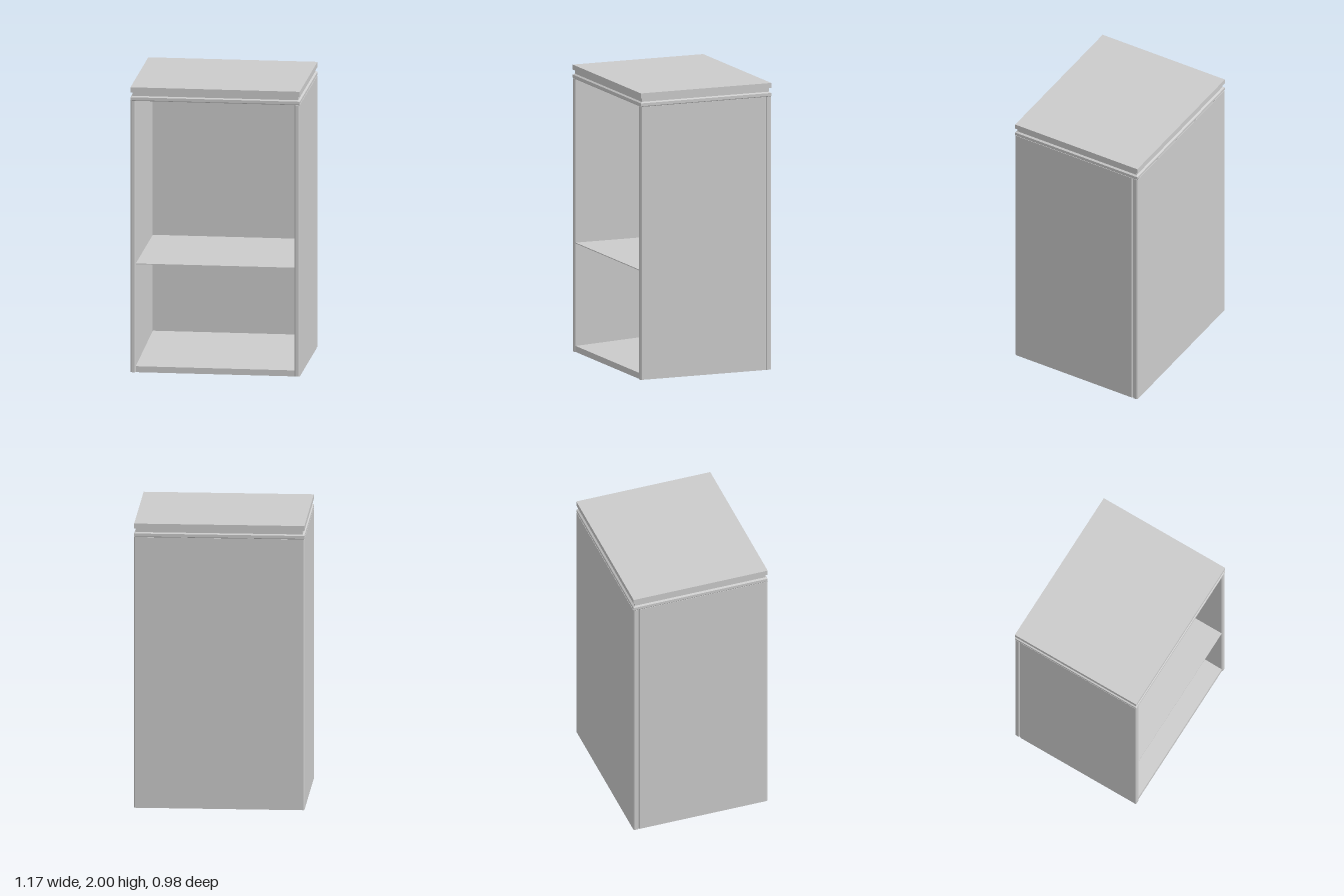
import * as THREE from 'three';

const W = 0.585, D = 0.488, T = 0.036;   // half width, half depth, board thickness
const TOP_Y = 1.905;                     // underside of the top board
const BACK_Z = -0.45;                    // inner face of the back panel

const material = () => new THREE.MeshStandardMaterial({ color: 0xcccccc, flatShading: true });

function add(group, name, geometry, x = 0, y = 0, z = 0) {
  const mesh = new THREE.Mesh(geometry, material());
  mesh.name = name;
  mesh.position.set(x, y, z);
  group.add(mesh);
  return mesh;
}

// Upright board: chamfered rectangle in plan, extruded along y.
function uprightBoard(x0, x1, z0, z1, height, c) {
  const shape = new THREE.Shape([
    [x0 + c, -z1], [x1 - c, -z1], [x1, -z1 + c], [x1, -z0 - c],
    [x1 - c, -z0], [x0 + c, -z0], [x0, -z0 - c], [x0, -z1 + c],
  ].map(([x, y]) => new THREE.Vector2(x, y)));
  return new THREE.ExtrudeGeometry(shape, { depth: height, bevelEnabled: false }).rotateX(-Math.PI / 2);
}

// Rectangular moulding: a profile of [inset, y] carried around four sides and capped.
function moulding(profile) {
  const pos = [];
  const ring = ([inset, y]) => [[1, 1], [1, -1], [-1, -1], [-1, 1]]
    .map(([sx, sz]) => [sx * (W - inset), y, sz * (D - inset)]);
  const quad = (a, b, c, d) => pos.push(...a, ...b, ...c, ...a, ...c, ...d);
  for (let i = 0; i < profile.length - 1; i++) {
    const lo = ring(profile[i]), hi = ring(profile[i + 1]);
    for (let k = 0; k < 4; k++) {
      const n = (k + 1) % 4;
      quad(lo[k], lo[n], hi[n], hi[k]);
    }
  }
  const bottom = ring(profile[0]), top = ring(profile[profile.length - 1]);
  quad(top[0], top[1], top[2], top[3]);
  quad(bottom[3], bottom[2], bottom[1], bottom[0]);
  const g = new THREE.BufferGeometry();
  g.setAttribute('position', new THREE.Float32BufferAttribute(pos, 3));
  g.computeVertexNormals();
  return g;
}

export function createModel() {
  const cabinet = new THREE.Group();
  cabinet.name = 'cabinet';

  // Side panels, mirrored
  for (const [name, s] of [['leftSidePanel', 1], ['rightSidePanel', -1]]) {
    const x0 = s > 0 ? W - T : -W, x1 = x0 + T;
    add(cabinet, name, uprightBoard(x0, x1, BACK_Z, D, TOP_Y, 0.007));
  }

  // Back panel across the full width
  add(cabinet, 'backPanel', uprightBoard(-W, W, -D, BACK_Z, TOP_Y, 0.007));

  // Floor board, its upper face rising slightly towards the back
  const inner = W - T;
  const floorSection = new THREE.Shape([
    new THREE.Vector2(-0.482, 0), new THREE.Vector2(-BACK_Z, 0),
    new THREE.Vector2(-BACK_Z, 0.09), new THREE.Vector2(-0.482, 0.042),
  ]);
  const floor = new THREE.ExtrudeGeometry(floorSection, { depth: inner * 2, bevelEnabled: false });
  floor.translate(0, 0, -inner).rotateY(Math.PI / 2);
  add(cabinet, 'floorBoard', floor);

  // Thin shelf
  const shelfDepth = 0.482 - BACK_Z;
  add(cabinet, 'shelf', new THREE.BoxGeometry(inner * 2, 0.006, shelfDepth), 0, 0.76, BACK_Z + shelfDepth / 2);

  // Top board with a shallow groove round its edge
  add(cabinet, 'topBoard', moulding([
    [0.003, TOP_Y], [0, 1.91], [0, 1.93], [0.012, 1.938], [0.012, 1.963], [0, 1.965], [0, 2],
  ]));

  return cabinet;
}
